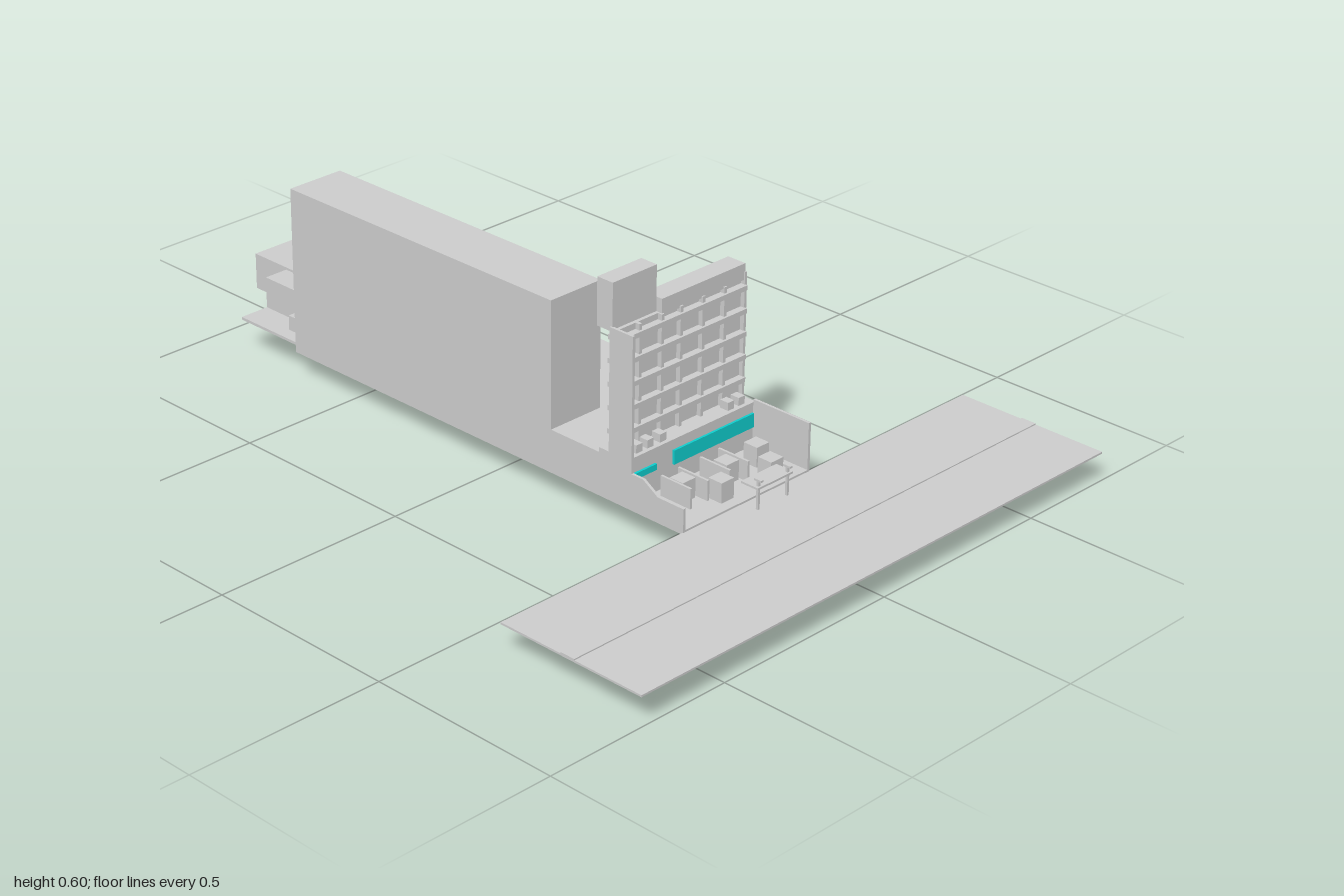
import * as THREE from 'three';

const grey = new THREE.MeshStandardMaterial({ color: 0xcccccc });
const teal = new THREE.MeshStandardMaterial({ color: 0x10cccc });
const yellow = new THREE.MeshStandardMaterial({ color: 0xd0b030 });

export function createModel() {
  const model = new THREE.Group();

  // Box given by its limits on each axis
  function box(name, [x0, x1], [y0, y1], [z0, z1], material = grey, parent = model) {
    const mesh = new THREE.Mesh(new THREE.BoxGeometry(x1 - x0, y1 - y0, z1 - z0), material);
    mesh.position.set((x0 + x1) / 2, (y0 + y1) / 2, (z0 + z1) / 2);
    mesh.name = name;
    parent.add(mesh);
    return mesh;
  }
  function group(name) {
    const g = new THREE.Group();
    g.name = name;
    model.add(g);
    return g;
  }

  // Road with raised median
  const road = group('road');
  box('roadway', [0.595, 1], [0.07, 0.075], [-0.75, 0.745], grey, road);
  box('median', [0.77, 0.81], [0.075, 0.078], [-0.75, 0.745], grey, road);

  // Long hall: lower body, then roof blocks separated by two sunken courts
  const hall = group('hall');
  box('lowerBody', [-0.68, 0.43], [0.07, 0.135], [-0.21, 0.2], grey, hall);
  box('rearBody', [-1, -0.68], [0.085, 0.135], [-0.21, 0.05], grey, hall);
  for (const [x0, x1] of [[-1, -0.76], [-0.63, -0.21], [-0.085, 0.36]])
    box('roofBlock', [x0, x1], [0.135, 0.178], [-0.21, 0.05], grey, hall);
  box('sideRoofBlock', [0.19, 0.36], [0.135, 0.178], [0.05, 0.2], grey, hall);
  box('roofStep', [0.34, 0.43], [0.135, 0.19], [-0.21, 0.2], grey, hall);

  // Glazing and roof hatches in the courts
  for (const x of [-0.63, -0.085])
    box('courtGlass', [x - 0.004, x], [0.138, 0.168], [-0.2, 0.04], teal, hall);
  for (const x of [-0.72, -0.66])
    for (const z of [-0.085, -0.005])
      box('courtHatch', [x - 0.007, x + 0.007], [0.135, 0.15], [z - 0.02, z + 0.02], grey, hall);
  box('courtKerb', [-0.76, -0.74], [0.135, 0.16], [-0.21, 0.05], grey, hall);
  box('courtKerb', [-0.645, -0.635], [0.135, 0.15], [-0.21, 0.05], grey, hall);

  // Tall block along the front of the hall
  box('tallBlock', [-0.68, 0.19], [0.135, 0.495], [0.045, 0.2]);

  // Annex and loading ledge at the rear
  const annex = group('annex');
  box('annexBody', [-0.885, -0.68], [0.09, 0.172], [0.05, 0.115], grey, annex);
  box('annexDock', [-0.75, -0.68], [0.09, 0.13], [0.115, 0.16], grey, annex);
  box('loadingLedge', [-0.885, -0.68], [0.085, 0.092], [0.115, 0.195], grey, annex);

  // Yellow shaft through the hall
  box('shaft', [-0.17, -0.122], [0, 0.228], [-0.012, 0.035], yellow);

  // Entrance facade: thin wall with floor ledges and fins
  const facade = group('facade');
  box('facadeWall', [0.374, 0.384], [0.18, 0.485], [-0.205, 0.195], grey, facade);
  box('sideFin', [0.37, 0.44], [0.135, 0.492], [0.193, 0.2], grey, facade);
  box('farFin', [0.355, 0.395], [0.18, 0.5], [-0.21, -0.203], grey, facade);
  for (let i = 0; i < 5; i++) {
    const y = 0.23 + i * 0.057;
    box('floorLedge', [0.36, 0.402], [y, y + 0.012], [-0.205, 0.195], grey, facade);
  }
  for (const z of [-0.14, -0.07, 0, 0.06, 0.13])
    box('fin', [0.364, 0.396], [0.18, 0.485], [z - 0.004, z + 0.004], grey, facade);
  box('cap', [0.34, 0.392], [0.48, 0.52], [-0.207, 0.06], grey, facade);
  box('topTower', [0.328, 0.375], [0.48, 0.597], [0.06, 0.196], grey, facade);
  box('entranceGlass', [0.43, 0.436], [0.13, 0.165], [-0.2, 0.06], teal, facade);
  box('entranceGlass', [0.43, 0.436], [0.138, 0.153], [0.115, 0.19], teal, facade);

  // Forecourt: floor, high far wall and a stepped near wall
  const forecourt = group('forecourt');
  box('floor', [0.43, 0.597], [0.07, 0.08], [-0.21, 0.2], grey, forecourt);
  box('farWall', [0.43, 0.597], [0.07, 0.197], [-0.21, -0.203], grey, forecourt);
  const outline = new THREE.Shape([[0.43, 0.07], [0.597, 0.07], [0.597, 0.133], [0.52, 0.133], [0.475, 0.16], [0.43, 0.16]]
    .map(([x, y]) => new THREE.Vector2(x, y)));
  const nearWall = new THREE.Mesh(new THREE.ExtrudeGeometry(outline, { depth: 0.007, bevelEnabled: false }), grey);
  nearWall.position.z = 0.193;
  nearWall.name = 'nearWall';
  forecourt.add(nearWall);

  // Partitions, counters and small roof units
  for (const z of [0.115, 0.06, -0.01, -0.07])
    box('partition', [0.45, 0.54], [0.08, 0.13], [z - 0.003, z + 0.003], grey, forecourt);
  for (const [x, z] of [[0.49, 0.09], [0.55, 0.03], [0.5, -0.04], [0.56, -0.12], [0.49, -0.15]])
    box('counter', [x - 0.02, x + 0.02], [0.08, 0.13], [z - 0.02, z + 0.02], grey, forecourt);
  for (const z of [0.155, 0.12, 0.08, -0.14, -0.175])
    box('roofUnit', [0.395, 0.42], [0.19, 0.21], [z - 0.01, z + 0.01], grey, forecourt);
  box('canopy', [0.595, 0.645], [0.128, 0.133], [-0.1, 0.015], grey, forecourt);

  // Posts under the canopy edge
  for (const z of [-0.09, 0.005]) {
    box('post', [0.634, 0.64], [0.075, 0.145], [z - 0.003, z + 0.003], grey, forecourt);
    box('postHead', [0.627, 0.648], [0.145, 0.15], [z - 0.004, z + 0.004], grey, forecourt);
  }
  return model;
}
